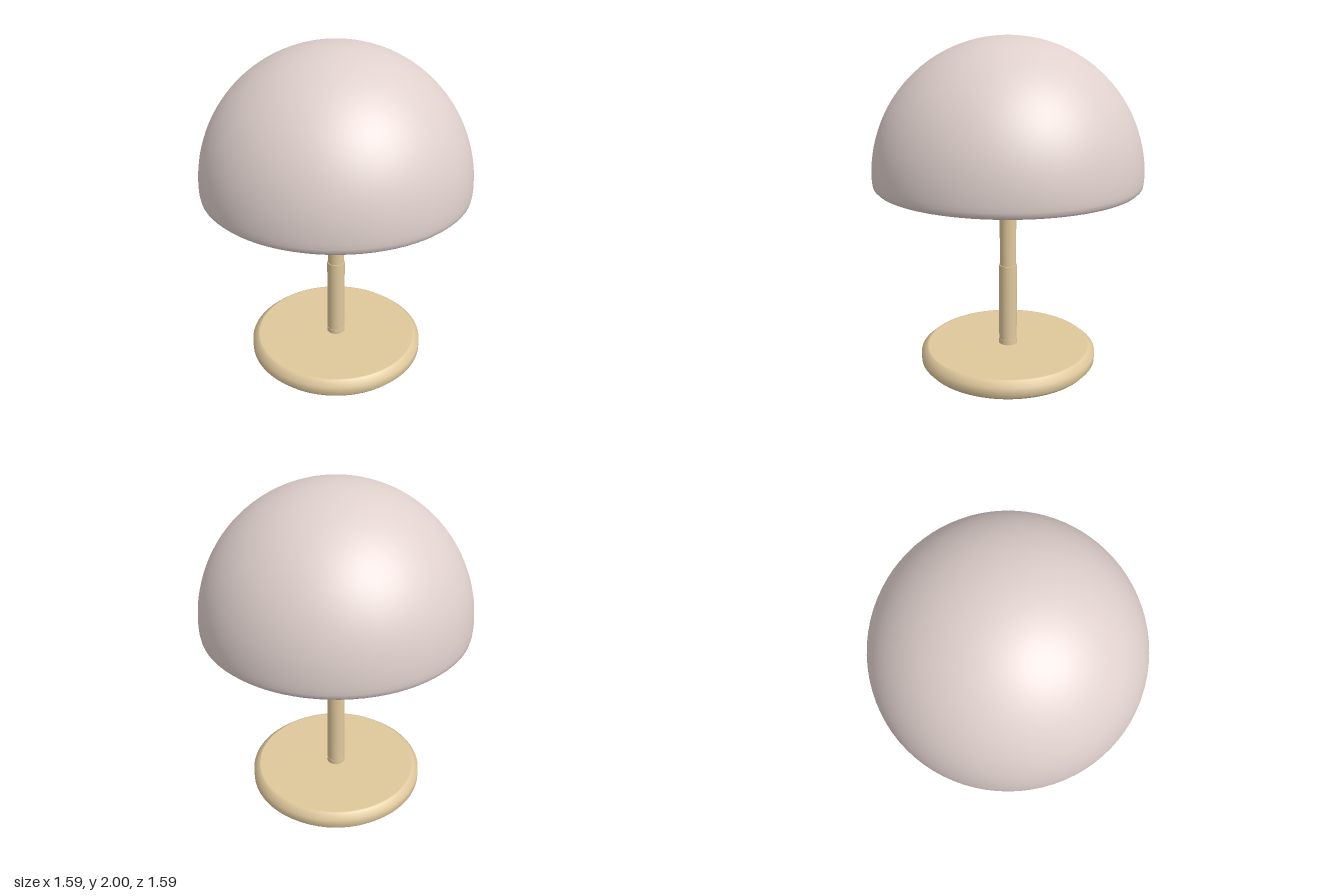
import * as THREE from 'three';

export function createModel() {
  const model = new THREE.Group();
  const wood = new THREE.MeshStandardMaterial({ color: 0xdfc89c });
  wood.name = 'pale wood';
  const glass = new THREE.MeshStandardMaterial({ color: 0xdfd0cc });
  glass.name = 'blush glass';

  // Turned part: profile of [radius, height] from bottom to top
  const turned = (name, profile, material, sides) => {
    const points = profile.map(([r, y]) => new THREE.Vector2(r, y));
    const mesh = new THREE.Mesh(new THREE.LatheGeometry(points, sides), material);
    mesh.name = name;
    model.add(mesh);
  };

  // Round foot with softened rims
  turned('base', [
    [0, 0], [0.5, 0], [0.515, 0.004], [0.54, 0.032],
    [0.54, 0.085], [0.505, 0.115], [0.495, 0.116], [0, 0.116],
  ], wood, 64);

  // Stem: slightly wider lower sleeve, slimmer upper rod, small foot collar
  const rod = (name, radius, bottom, top) => {
    const mesh = new THREE.Mesh(new THREE.CylinderGeometry(radius, radius, top - bottom, 32), wood);
    mesh.position.y = (bottom + top) / 2;
    mesh.name = name;
    model.add(mesh);
  };
  rod('stemCollar', 0.057, 0.11, 0.145);
  rod('lowerStem', 0.055, 0.11, 0.63);
  rod('upperStem', 0.05, 0.6, 1.15);

  // Closed dome shade with a rolled lower rim
  const shade = [[0, 1.124], [0.68, 1.126], [0.74, 1.13], [0.775, 1.139], [0.789, 1.153], [0.793, 1.175]];
  const steps = 28;
  for (let i = 0; i <= steps; i++) {
    const a = (i / steps) * Math.PI / 2;
    shade.push([i === steps ? 0 : 0.795 * Math.cos(a), 1.205 + 0.795 * Math.sin(a)]);
  }
  turned('shade', shade, glass, 80);

  return model;
}
